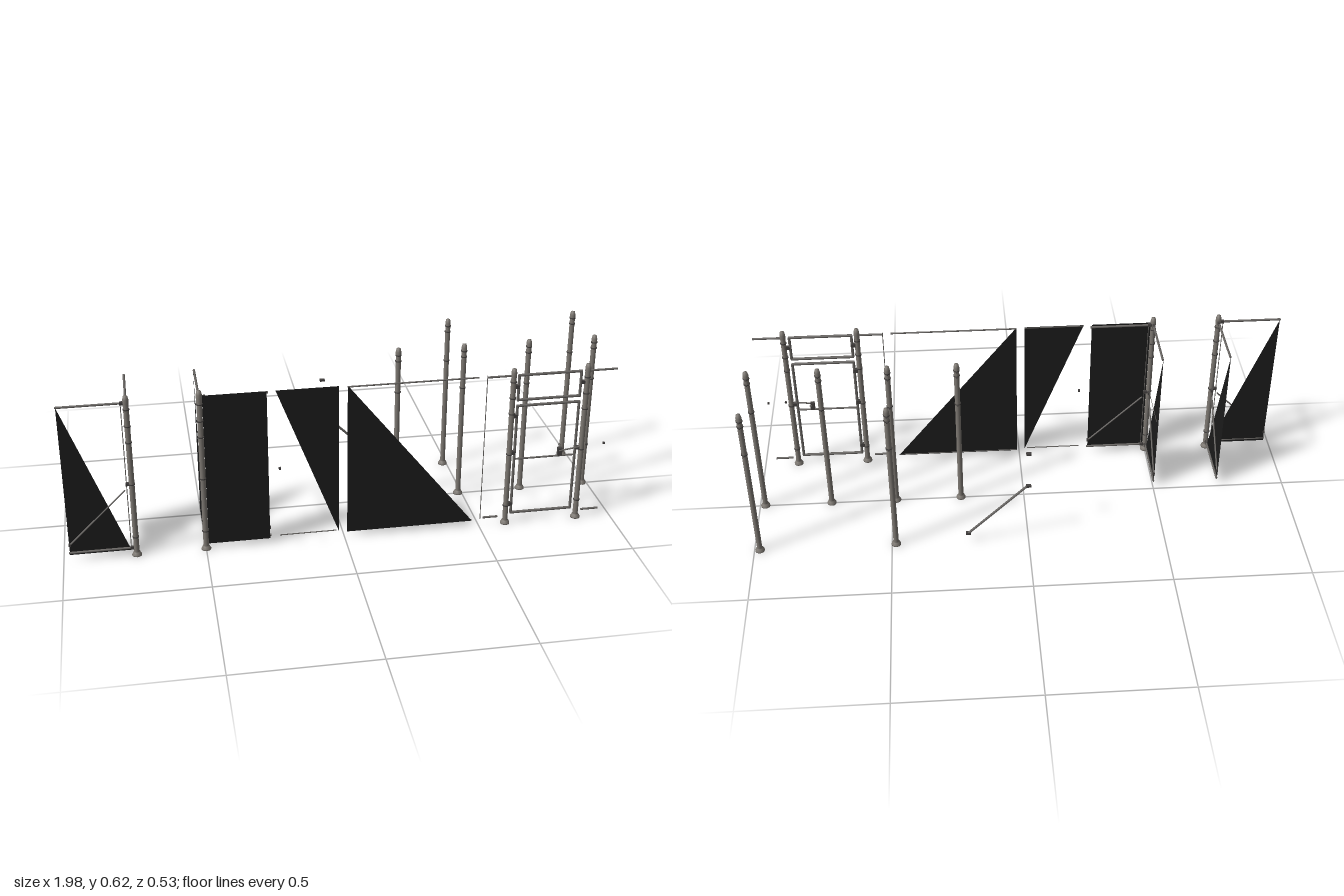
import * as THREE from 'three';

export function createModel() {
  const root = new THREE.Group();
  root.name = 'fenceKit';
  const mat = (name, color, side = THREE.FrontSide) => {
    const m = new THREE.MeshStandardMaterial({ color, side });
    m.name = name;
    return m;
  };
  const steel = mat('postSteel', 0x7d7872);
  const rail = mat('railSteel', 0x686562);
  const dark = mat('clampSteel', 0x444140);
  const netting = mat('blackNetting', 0x1b1b1b, THREE.DoubleSide);

  const add = (parent, name, geo, material, x = 0, y = 0, z = 0) => {
    const m = new THREE.Mesh(geo, material);
    m.name = name;
    m.position.set(x, y, z);
    parent.add(m);
    return m;
  };
  const group = (name) => {
    const g = new THREE.Group();
    g.name = name;
    root.add(g);
    return g;
  };
  // round bar between two points
  const bar = (parent, name, a, b, r = 0.004) => {
    const p = new THREE.Vector3(...a), q = new THREE.Vector3(...b);
    const d = q.clone().sub(p);
    const m = add(parent, name, new THREE.CylinderGeometry(r, r, d.length(), 8), rail);
    m.position.copy(p).add(q).multiplyScalar(0.5);
    m.quaternion.setFromUnitVectors(new THREE.Vector3(0, 1, 0), d.normalize());
    return m;
  };
  // flat sheet of netting from its corners
  const sheet = (parent, pts) => {
    const v = pts.map((p) => new THREE.Vector2(...p));
    return add(parent, 'netting', new THREE.ShapeGeometry(new THREE.Shape(v)), netting);
  };

  // posts with flared foot, blunt cap and clamp bands
  const profile = [[0, 0], [0.0175, 0], [0.0175, 0.004], [0.012, 0.014], [0.0097, 0.016], [0.0097, 0.59],
    [0.0105, 0.591], [0.0105, 0.606], [0.0075, 0.619], [0, 0.621]].map((p) => new THREE.Vector2(...p));
  const postGeo = new THREE.LatheGeometry(profile, 12);
  const bandGeo = new THREE.CylinderGeometry(0.0118, 0.0118, 0.004, 12);
  const clipGeo = new THREE.BoxGeometry(0.005, 0.004, 0.012);
  const post = (x, z, bands, clips) => {
    const g = group('post');
    g.position.set(x, 0, z);
    add(g, 'postTube', postGeo, steel);
    for (const y of bands) {
      add(g, 'clampBand', bandGeo, dark, 0, y, 0);
      if (clips) add(g, 'bandClip', clipGeo, dark, 0, y, -0.011);
    }
  };
  for (const x of [-0.745, -0.5, 0.6, 0.87]) post(x, 0.248, [0.57, 0.507, 0.446, 0.285, 0.075], false);
  for (const x of [0.24, 0.485, 0.73, 0.98]) post(x, 0, [0.593, 0.57, 0.446], true);
  for (const x of [0.485, 0.98]) post(x, -0.247, [0.593, 0.57, 0.45], true);

  // framed end panel, drawn along local x from the post (0) outwards
  const endPanel = (name, x, rotY, netPts, netZ) => {
    const g = group(name);
    g.position.set(x, 0, 0.247);
    g.rotation.y = rotY;
    bar(g, 'topRail', [0.01, 0.593, 0], [0.235, 0.593, 0], 0.0042);
    bar(g, 'bottomRail', [0.015, 0.03, 0], [0.235, 0.03, 0], 0.0042);
    bar(g, 'diagonalBrace', [0.025, 0.262, 0], [0.232, 0.059, 0], 0.003);
    bar(g, 'tensionBar', [0.018, 0.03, 0], [0.018, 0.59, 0], 0.0015);
    for (const y of [0.593, 0.285, 0.03]) add(g, 'railCup', new THREE.BoxGeometry(0.014, 0.011, 0.009), dark, 0.014, y, 0);
    add(g, 'braceEnd', new THREE.BoxGeometry(0.008, 0.01, 0.008), dark, 0.23, 0.062, 0);
    sheet(g, netPts).position.z = netZ;
    return g;
  };
  const triangle = [[0.018, 0.02], [0.232, 0.02], [0.232, 0.592]];
  const full = [[0.01, 0.02], [0.23, 0.02], [0.23, 0.6], [0.01, 0.6]];
  endPanel('leftEndPanel', -0.745, Math.PI, triangle, 0.003);
  endPanel('leftSidePanel', -0.745, Math.PI / 2, triangle, -0.003);
  const side = endPanel('innerSidePanel', -0.5, Math.PI / 2, triangle, -0.003);
  bar(side, 'trussRod', [0.025, 0.295, 0], [0.21, 0.295, 0], 0.001);
  endPanel('innerFrontPanel', -0.5, 0, full, 0.006).position.z = 0.241;

  // loose netting panels with thin wires
  const mid = group('middlePanel');
  mid.position.z = 0.247;
  sheet(mid, [[-0.24, 0.6], [-0.02, 0.6], [-0.02, 0.025]]);
  bar(mid, 'topWire', [-0.24, 0.597, -0.002], [-0.02, 0.597, -0.002], 0.0018);
  bar(mid, 'bottomWire', [-0.235, 0.03, 0], [-0.03, 0.03, 0], 0.002);
  add(mid, 'looseClip', new THREE.BoxGeometry(0.008, 0.008, 0.008), dark, -0.23, 0.3, 0);

  const long = group('longPanel');
  long.position.z = 0.247;
  sheet(long, [[0.01, 0.6], [0.01, 0.02], [0.475, 0.02]]);
  bar(long, 'topWire', [0.01, 0.595, 0], [0.475, 0.595, 0], 0.003);
  bar(long, 'bottomWire', [0.01, 0.025, -0.002], [0.475, 0.025, -0.002], 0.0015);

  // short rails beside the gate
  const stubs = group('gateSideRails');
  stubs.position.z = 0.247;
  bar(stubs, 'tensionBar', [0.505, 0.025, 0], [0.505, 0.6, 0], 0.0015);
  for (const [a, b, c, d] of [[0.505, 0.6, 0.515, 0.57], [0.98, 0.87, 0.955, 0.89]]) {
    bar(stubs, 'topRail', [a, 0.593, 0], [b, 0.593, 0], 0.004);
    bar(stubs, 'bottomRail', [c, 0.03, 0], [d, 0.03, 0], 0.004);
  }
  for (const x of [0.89, 0.955]) add(stubs, 'looseClip', new THREE.BoxGeometry(0.007, 0.007, 0.007), dark, x, 0.3, 0);

  // gate leaf and the frame above it
  const gate = group('gate');
  gate.position.z = 0.247;
  const frame = (y0, y1) => {
    for (const y of [y0, y1]) bar(gate, 'frameRail', [0.617, y, 0], [0.85, y, 0], 0.0052);
    for (const x of [0.62, 0.847]) bar(gate, 'frameStile', [x, y0, 0], [x, y1, 0], 0.0052);
  };
  frame(0.498, 0.593);
  frame(0.042, 0.475);
  bar(gate, 'middleRail', [0.62, 0.263, 0], [0.847, 0.263, 0], 0.0035);
  for (const y of [0.55, 0.435, 0.29, 0.08]) {
    add(gate, 'hinge', new THREE.BoxGeometry(0.024, 0.014, 0.012), dark, 0.611, y, 0);
  }
  for (const y of [0.55, 0.29]) add(gate, 'keeper', new THREE.BoxGeometry(0.02, 0.012, 0.012), dark, 0.858, y, 0);
  // latch
  bar(gate, 'latchBar', [0.785, 0.285, 0.006], [0.86, 0.295, 0.006], 0.003);
  add(gate, 'latchBody', new THREE.BoxGeometry(0.016, 0.03, 0.014), dark, 0.79, 0.28, 0);
  bar(gate, 'latchHandle', [0.795, 0.282, -0.005], [0.795, 0.298, -0.026], 0.004);

  // separate brace with its fittings at the back
  const brace = group('looseBrace');
  brace.position.z = -0.252;
  bar(brace, 'diagonalBrace', [0.005, 0.255, 0], [0.22, 0.042, 0], 0.0045);
  for (const [x, y] of [[0, 0.4], [0, 0.255], [0.22, 0.042]]) {
    add(brace, 'braceFitting', new THREE.BoxGeometry(0.018, 0.008, 0.012), dark, x, y, 0);
  }
  return root;
}
